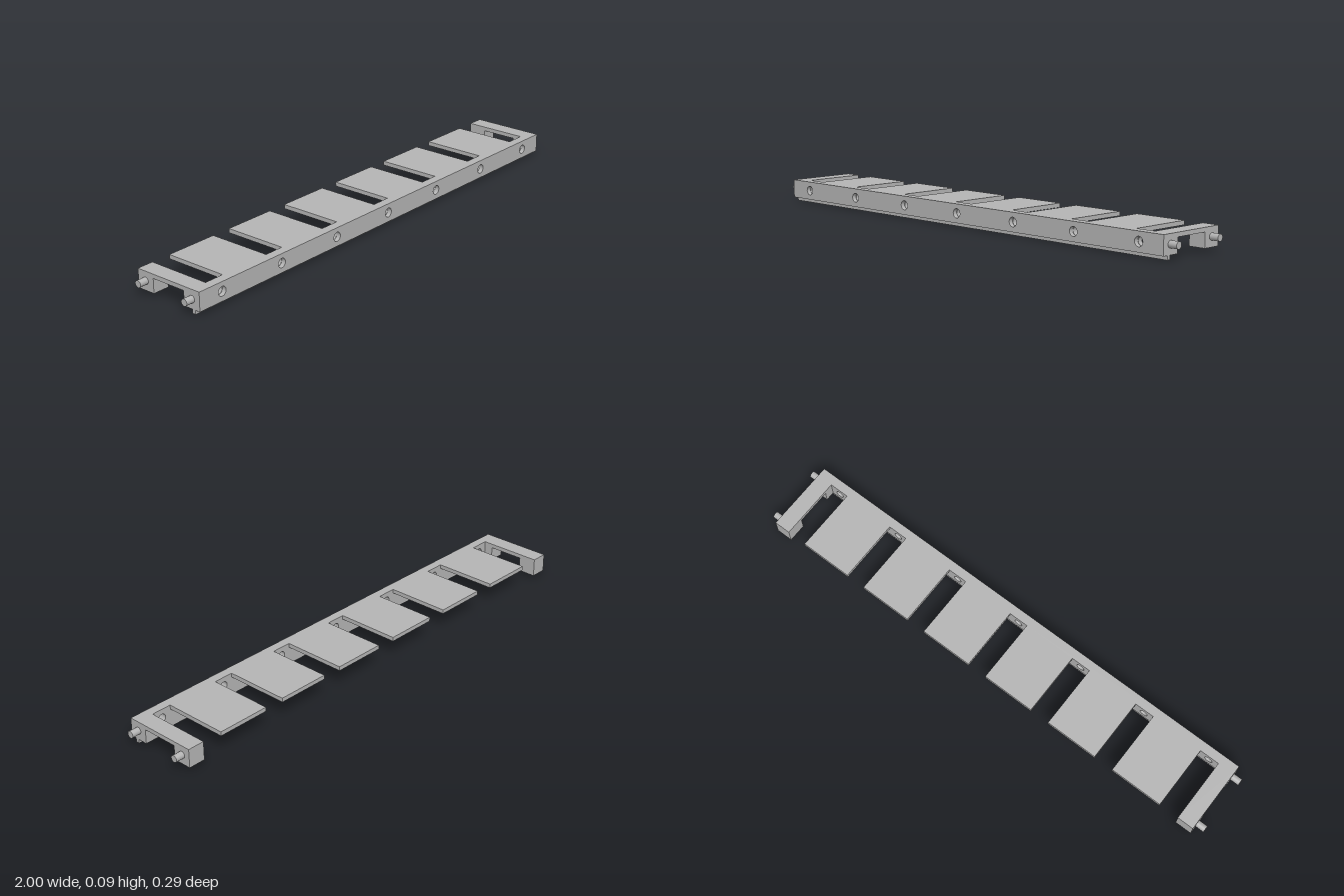
import * as THREE from 'three';

const HALF = 0.965;            // half length of the bar
const DEPTH = 0.143;           // half depth of the bar
const WALL_BACK = 0.107;       // inner face of the front wall
const BASE = 0.015, UNDER = 0.07, TOP = 0.086;
const HOLE_Y = 0.051, PITCH = 0.287, SLOT = 0.039;

export function createModel() {
  const group = new THREE.Group();
  const grey = new THREE.MeshStandardMaterial({ color: 0xb4b4b4 });
  grey.name = 'grey metal';

  const add = (name, geometry) => {
    const mesh = new THREE.Mesh(geometry, grey);
    mesh.name = name;
    group.add(mesh);
    return mesh;
  };
  const box = (name, x0, x1, y0, y1, z0, z1) =>
    add(name, new THREE.BoxGeometry(x1 - x0, y1 - y0, z1 - z0))
      .position.set((x0 + x1) / 2, (y0 + y1) / 2, (z0 + z1) / 2);

  const centres = [];
  for (let i = -3; i <= 3; i++) centres.push(i * PITCH);

  // Comb-shaped top plate, with a slot open to the back at every hole
  const comb = new THREE.Shape();
  comb.moveTo(-HALF, -DEPTH);
  comb.lineTo(HALF, -DEPTH);
  comb.lineTo(HALF, DEPTH);
  for (const x of [...centres].reverse()) {
    comb.lineTo(x + SLOT, DEPTH);
    comb.lineTo(x + SLOT, -WALL_BACK);
    comb.lineTo(x - SLOT, -WALL_BACK);
    comb.lineTo(x - SLOT, DEPTH);
  }
  comb.lineTo(-HALF, DEPTH);
  comb.closePath();
  const deck = new THREE.ExtrudeGeometry(comb, { depth: TOP - UNDER, bevelEnabled: false });
  deck.rotateX(-Math.PI / 2);
  add('toothedTopPlate', deck).position.y = UNDER;

  // Front wall in two layers: wide recesses in front, narrow holes behind
  const wallLayer = (name, radius, z0, z1) => {
    const shape = new THREE.Shape();
    shape.moveTo(-HALF, BASE);
    shape.lineTo(HALF, BASE);
    shape.lineTo(HALF, UNDER);
    shape.lineTo(-HALF, UNDER);
    shape.closePath();
    for (const x of centres) {
      const hole = new THREE.Path();
      hole.absarc(x, HOLE_Y, radius, 0, Math.PI * 2, true);
      shape.holes.push(hole);
    }
    const geometry = new THREE.ExtrudeGeometry(shape, {
      depth: z1 - z0, bevelEnabled: false, curveSegments: 24,
    });
    // Keep the recesses inside the wall height
    add(name, geometry).position.z = z0;
  };
  wallLayer('frontWallInner', 0.016, WALL_BACK, 0.126);
  wallLayer('frontWallOuter', 0.0185 + 0.0075 - 0.0075 + 0.0065 - 0.0065 + 0.0065 - 0.0075, 0.126, 0.126 + DEPTH - 0.126);

  // Thin lip under the front wall
  box('lowerLip', -HALF, HALF, 0, BASE, 0.109, 0.123);

  // End brackets: two legs and two round pegs on each side
  for (const s of [-1, 1]) {
    const inner = s * (3 * PITCH + SLOT), outer = s * HALF;
    const x0 = Math.min(inner, outer), x1 = Math.max(inner, outer);
    box('frontLeg', x0, x1, BASE, UNDER, 0.071, WALL_BACK);
    box('backLeg', x0, x1, BASE, UNDER, -DEPTH, -0.071);
    for (const z of [0.108, -0.108]) {
      const peg = new THREE.CylinderGeometry(0.013, 0.013, 0.04, 24);
      peg.rotateZ(Math.PI / 2);
      add('endPeg', peg).position.set(s * 0.98, HOLE_Y, z);
    }
  }
  return group;
}
